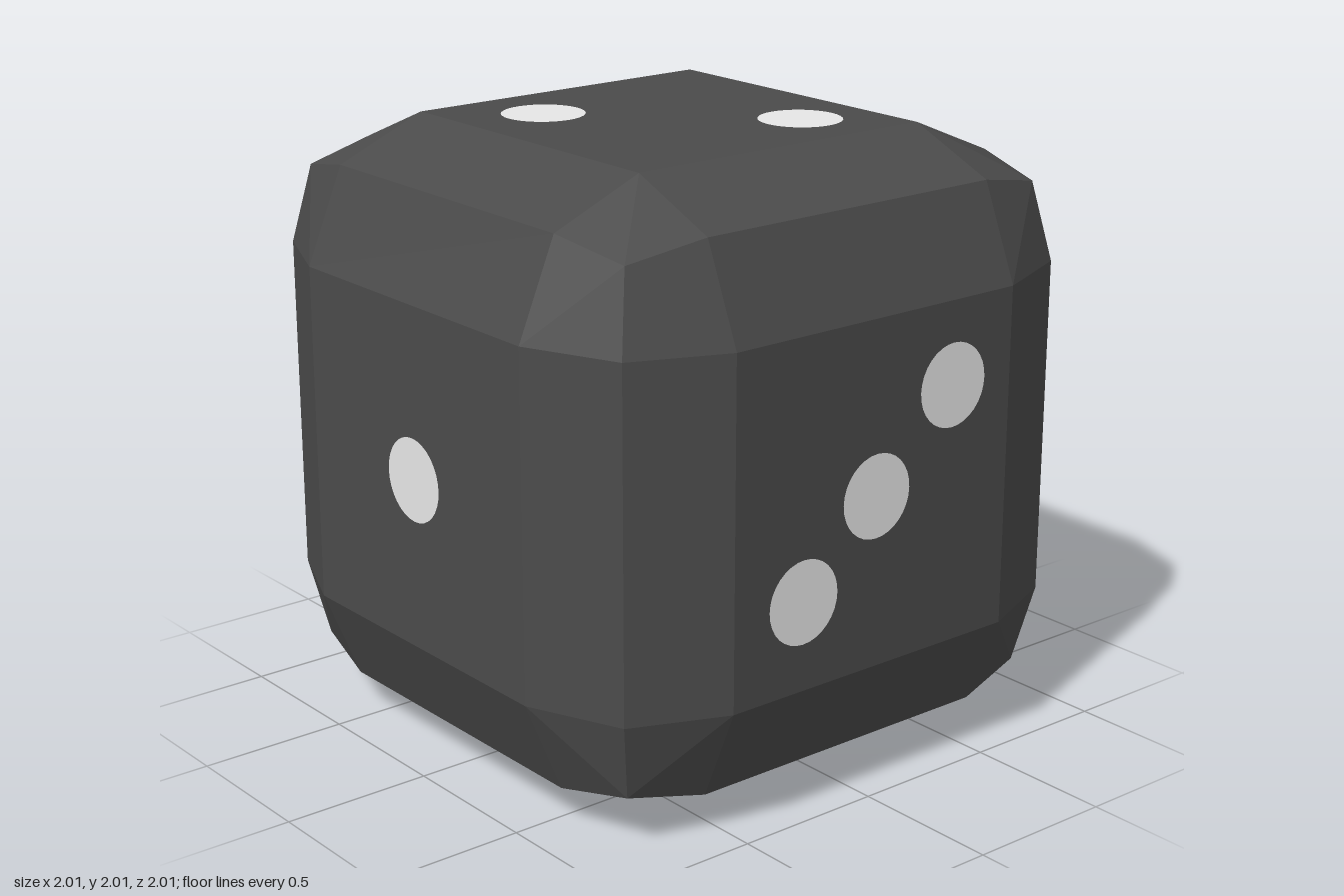
import * as THREE from 'three';
import { ConvexGeometry } from 'three/addons/geometries/ConvexGeometry.js';

const FLAT = 0.56;    // half width of each flat face
const EDGE = 0.87;    // where the bevels of two faces meet
const CORNER = 0.82;  // where three bevels meet
const PIP = 0.136;

// Bevelled cube: corners of the flat faces, the edge ridges and the eight corner tips
function bodyGeometry() {
  const points = [];
  for (const x of [-1, 1]) for (const y of [-1, 1]) for (const z of [-1, 1]) {
    const add = (a, b, c) => points.push(new THREE.Vector3(a * x, b * y, c * z));
    add(1, FLAT, FLAT); add(FLAT, 1, FLAT); add(FLAT, FLAT, 1);
    add(EDGE, EDGE, FLAT); add(EDGE, FLAT, EDGE); add(FLAT, EDGE, EDGE);
    add(CORNER, CORNER, CORNER);
  }
  return new ConvexGeometry(points);
}

// Pip centres on each face as [u, v], seen from outside with v up after the rotation
const FACES = [
  { name: 'frontPips', rot: [0, 0, 0], pips: [[0, 0]] },
  { name: 'topPips', rot: [-Math.PI / 2, 0, 0], pips: [[0.3, 0.3], [-0.28, -0.28]] },
  { name: 'leftPips', rot: [0, Math.PI / 2, 0], pips: [[-0.29, -0.27], [0, 0], [0.31, 0.29]] },
  { name: 'rightPips', rot: [0, -Math.PI / 2, 0],
    pips: [[-0.255, 0.31], [0.29, 0.31], [-0.255, -0.245], [0.29, -0.245]] },
  { name: 'bottomPips', rot: [Math.PI / 2, 0, 0],
    pips: [[0, 0], [0.31, -0.29], [0.31, 0.29], [-0.31, -0.29], [-0.31, 0.29]] },
  { name: 'backPips', rot: [0, Math.PI, 0],
    pips: [-0.31, 0.3].flatMap((u) => [0.39, 0, -0.39].map((v) => [u, v])) },
];

export function createModel() {
  const bodyMat = new THREE.MeshStandardMaterial({ color: 0x4b4b4b });
  bodyMat.name = 'charcoal';
  const pipMat = new THREE.MeshStandardMaterial({ color: 0xe7e7e7 });
  pipMat.name = 'offWhite';

  const model = new THREE.Group();
  model.name = 'die';

  const body = new THREE.Mesh(bodyGeometry(), bodyMat);
  body.name = 'body';
  body.position.y = 1;
  model.add(body);

  // Painted pips, just proud of each flat face
  const pipGeo = new THREE.CircleGeometry(PIP, 32);
  for (const { name, rot, pips } of FACES) {
    const face = new THREE.Group();
    face.name = name;
    face.position.y = 1;
    face.rotation.set(...rot);
    for (const [u, v] of pips) {
      const pip = new THREE.Mesh(pipGeo, pipMat);
      pip.name = 'pip';
      pip.position.set(u, v, 1.003);
      face.add(pip);
    }
    model.add(face);
  }
  return model;
}
